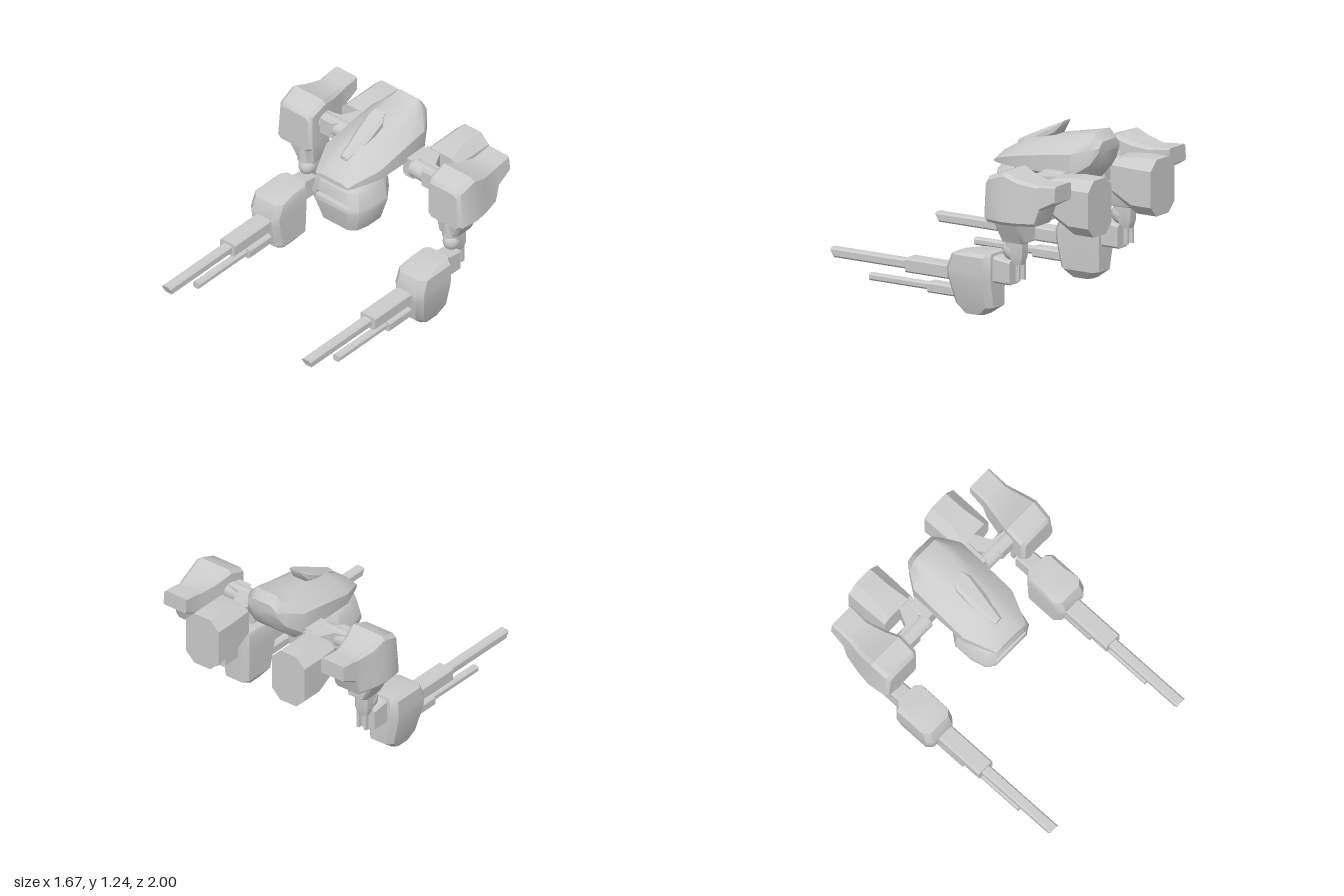
import * as THREE from 'three';
import { toCreasedNormals } from 'three/addons/utils/BufferGeometryUtils.js';

const material = new THREE.MeshStandardMaterial({ color: 0xcccccc });

// Skin a list of closed rings and cap both ends
function skin(rings, flip) {
  const n = rings[0].length, pos = [], idx = [];
  const tri = (a, b, c) => (flip ? idx.push(a, c, b) : idx.push(a, b, c));
  rings.forEach(r => r.forEach(p => pos.push(...p)));
  for (let k = 0; k < rings.length - 1; k++) {
    for (let i = 0; i < n; i++) {
      const a = k * n + i, b = k * n + (i + 1) % n;
      tri(a, b, b + n);
      tri(a, b + n, a + n);
    }
  }
  const last = (rings.length - 1) * n;
  for (let i = 1; i < n - 1; i++) {
    tri(0, i + 1, i);
    tri(last, last + i, last + i + 1);
  }
  const g = new THREE.BufferGeometry();
  g.setAttribute('position', new THREE.Float32BufferAttribute(pos, 3));
  g.setIndex(idx);
  return g;
}

// Chamfered rectangles [t, x0, x1, v0, v1, chamfer] along z (v = y) or y (v = z)
function loft(axis, sections) {
  const rings = sections.map(([t, x0, x1, v0, v1, c]) => [
    [x1, v0 + c], [x1, v1 - c], [x1 - c, v1], [x0 + c, v1],
    [x0, v1 - c], [x0, v0 + c], [x0 + c, v0], [x1 - c, v0],
  ].map(([x, v]) => (axis === 'z' ? [x, v, t] : [x, t, v])));
  const falling = sections[0][0] > sections[1][0];
  return skin(rings, (axis === 'y') !== falling);
}

// Apply a rule to every vertex
function bend(g, rule) {
  const p = g.attributes.position, v = new THREE.Vector3();
  for (let i = 0; i < p.count; i++) {
    rule(v.fromBufferAttribute(p, i));
    p.setXYZ(i, v.x, v.y, v.z);
  }
  return g;
}

function box(x0, x1, y0, y1, z0, z1) {
  return new THREE.BoxGeometry(x1 - x0, y1 - y0, z1 - z0)
    .translate((x0 + x1) / 2, (y0 + y1) / 2, (z0 + z1) / 2);
}

// Gun barrel with a raked muzzle
function barrel(x, y, halfW, halfH, z0, z1) {
  const g = loft('z', [0, 1].map(k => [k ? z1 : z0, x - halfW, x + halfW, y - halfH, y + halfH, 0.012]));
  return bend(g, v => { if (v.z === z1 && v.y < y) v.z -= 0.025; });
}

// Mesh with creased normals, optionally mirrored to the other side
function add(group, name, geometry, side = 1, crease = 0.6) {
  const g = geometry.index ? geometry.toNonIndexed() : geometry.clone();
  if (side < 0) {
    // Reversing the vertex order restores outward faces
    const src = g.attributes.position, out = [];
    for (let i = src.count - 1; i >= 0; i--) out.push(-src.getX(i), src.getY(i), src.getZ(i));
    g.setAttribute('position', new THREE.Float32BufferAttribute(out, 3));
  }
  g.deleteAttribute('uv');
  const mesh = new THREE.Mesh(toCreasedNormals(g, crease), material);
  mesh.name = name;
  group.add(mesh);
}

// Cockpit: rings [y, half width, back z, front z]; the slot rings sink the middle of the front
function cockpit() {
  const levels = [
    [0.49, 0.04, -0.24, -0.16], [0.545, 0.18, -0.38, -0.02], [0.72, 0.24, -0.4, 0.025],
    [0.752, 0.235, -0.4, 0.02], [0.755, 0.234, -0.4, 0.019, 0.035], [0.785, 0.228, -0.4, 0.014, 0.03],
    [0.788, 0.227, -0.4, 0.013], [0.87, 0.205, -0.39, 0], [0.91, 0.17, -0.36, -0.03],
  ];
  return skin(levels.map(([y, w, back, front, sink = 0]) => {
    const len = front - back, half = [
      [w * 0.6, front - sink], [w * 0.61, front - 0.002],
      [w * 0.88, front - len * 0.1], [w, front - len * 0.35],
      [w, back + len * 0.3], [w * 0.6, back],
    ];
    return [...half.map(([x, z]) => [x, y, z]), ...half.reverse().map(([x, z]) => [-x, y, z])];
  }), false);
}

// Hull: rings [z, half width, bottom, side height, top, top half width]
function hull() {
  const stations = [
    [0.02, 0.14, 0.912, 0.93, 0.945, 0.08], [-0.02, 0.16, 0.9, 0.95, 0.99, 0.08],
    [-0.2, 0.237, 0.895, 1.0, 1.095, 0.06], [-0.45, 0.235, 0.87, 1.04, 1.145, 0.07],
    [-0.66, 0.232, 0.85, 1.07, 1.185, 0.09], [-0.77, 0.16, 0.95, 1.1, 1.21, 0.085],
    [-0.82, 0.12, 1.07, 1.11, 1.15, 0.07],
  ];
  return skin(stations.map(([z, w, b, m, t, u]) => {
    const half = [[w * 0.65, b], [w, b + (m - b) * 0.3], [w, m],
      [w * 0.45 + u * 0.55, m + (t - m) * 0.65], [u, t]];
    return [...half.map(([x, y]) => [x, y, z]), ...half.reverse().map(([x, y]) => [-x, y, z])];
  }), true);
}

// Diagonal shoulder strut, drawn in plan as (x, -z)
function strut() {
  const shape = new THREE.Shape([[0.24, 0.68], [0.3, 0.56], [0.4, 0.44], [0.5, 0.44],
    [0.52, 0.54], [0.42, 0.56], [0.36, 0.68]].map(p => new THREE.Vector2(...p)));
  return new THREE.ExtrudeGeometry(shape, { depth: 0.12, bevelEnabled: false })
    .rotateX(-Math.PI / 2).translate(0, 0.825, 0);
}

// Shoulder armour, leaning inward towards the top
function shoulder() {
  const g = loft('z', [
    [-0.91, 0.58, 0.79, 0.87, 0.985, 0.01], [-0.79, 0.58, 0.79, 0.805, 0.978, 0.015],
    [-0.75, 0.575, 0.79, 0.69, 0.975, 0.02], [-0.62, 0.545, 0.82, 0.68, 1.0, 0.025],
    [-0.51, 0.515, 0.835, 0.68, 1.04, 0.025], [-0.38, 0.515, 0.82, 0.68, 0.995, 0.025],
    [-0.355, 0.535, 0.8, 0.69, 0.965, 0.025],
  ]);
  return bend(g, v => { if (v.x > 0.68) v.x -= 0.1 * Math.max(0, v.y - 0.75); });
}

export function createModel() {
  const model = new THREE.Group();
  model.name = 'walkerTorso';

  add(model, 'cockpit', cockpit());
  add(model, 'hull', hull());
  add(model, 'crest', loft('z', [
    [-0.475, -0.04, 0.04, 1.225, 1.24, 0.004], [-0.42, -0.07, 0.07, 1.14, 1.215, 0.02],
    [-0.28, -0.065, 0.065, 1.06, 1.15, 0.03], [-0.1, -0.03, 0.03, 1.0, 1.065, 0.015],
  ]));

  for (const side of [1, -1]) {
    const arm = new THREE.Group();
    arm.name = side > 0 ? 'leftArm' : 'rightArm';
    model.add(arm);
    const put = (name, g, crease) => add(arm, name, g, side, crease);

    // Rear pod and shoulder joint
    put('rearPod', loft('z', [
      [-1, 0.23, 0.51, 0.585, 0.975, 0.07], [-0.84, 0.23, 0.51, 0.585, 0.975, 0.07],
      [-0.67, 0.235, 0.505, 0.7, 0.95, 0.04]]));
    put('shoulderMount', loft('z', [[-0.65, 0.2, 0.31, 0.8, 0.95, 0.02], [-0.48, 0.2, 0.31, 0.8, 0.95, 0.02]]));
    put('shoulderStrut', strut());
    put('shoulderAxle', new THREE.CylinderGeometry(0.065, 0.065, 0.28, 16)
      .rotateZ(Math.PI / 2).translate(0.42, 0.885, -0.505));
    put('shoulderArmour', shoulder());

    // Upper arm and elbow
    put('upperArm', loft('y', [
      [0.535, 0.56, 0.705, -0.6, -0.45, 0.02], [0.545, 0.555, 0.71, -0.61, -0.42, 0.02],
      [0.69, 0.545, 0.78, -0.61, -0.4, 0.02]]));
    put('elbowPin', new THREE.CylinderGeometry(0.055, 0.055, 0.12, 16).translate(0.64, 0.585, -0.455));
    put('elbowBall', new THREE.SphereGeometry(0.07, 16, 12).scale(0.86, 1, 1).translate(0.64, 0.47, -0.475));
    put('elbowKnuckle', loft('y', [
      [0.38, 0.6, 0.68, -0.56, -0.5, 0.015], [0.44, 0.585, 0.695, -0.575, -0.46, 0.02],
      [0.54, 0.585, 0.695, -0.575, -0.44, 0.02]]));
    for (const x of [0.6, 0.66]) put('elbowProng', box(x, x + 0.02, 0.27, 0.42, -0.555, -0.525));
    put('forearmLink', loft('z', [[-0.49, 0.58, 0.7, 0.235, 0.4, 0.015], [-0.34, 0.58, 0.7, 0.235, 0.42, 0.015]]));

    // Forearm gun
    put('forearm', loft('y', [
      [0, 0.565, 0.705, -0.27, -0.11, 0.03], [0.06, 0.52, 0.725, -0.352, -0.045, 0.04],
      [0.25, 0.515, 0.765, -0.355, -0.005, 0.04], [0.31, 0.515, 0.767, -0.355, 0, 0.04],
      [0.41, 0.515, 0.765, -0.355, -0.04, 0.04], [0.435, 0.525, 0.74, -0.35, -0.16, 0.03]]));
    put('upperBarrelSleeve', barrel(0.622, 0.258, 0.065, 0.05, -0.06, 0.37), 0.4);
    put('upperBarrel', barrel(0.62, 0.257, 0.037, 0.033, 0.3, 1), 0.4);
    put('lowerBarrelSleeve', barrel(0.62, 0.126, 0.05, 0.037, -0.06, 0.2), 0.4);
    put('lowerBarrel', barrel(0.62, 0.128, 0.028, 0.025, 0.15, 0.69), 0.4);
  }
  return model;
}
